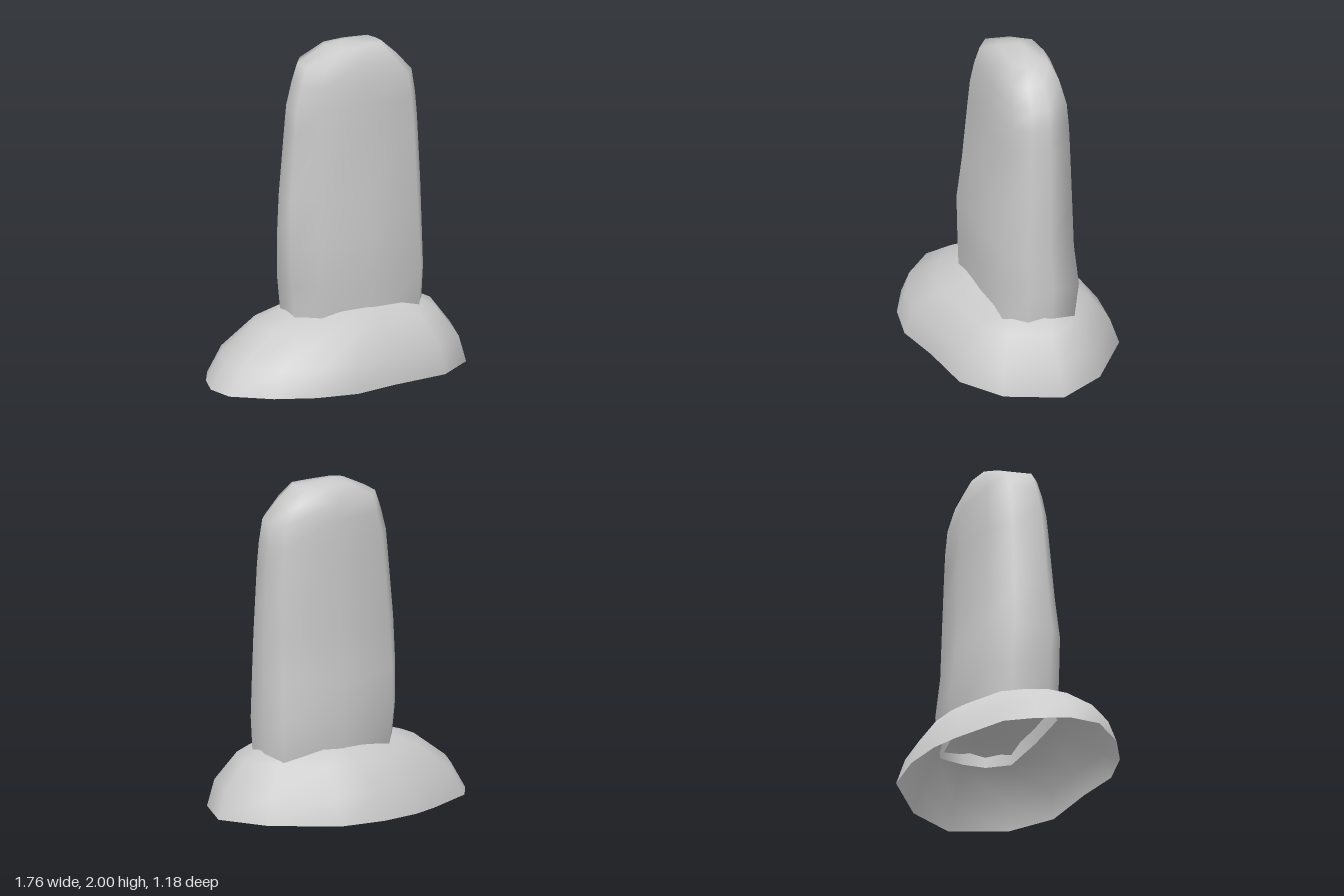
import * as THREE from 'three';

const material = new THREE.MeshStandardMaterial({ color: 0xcccccc, side: THREE.DoubleSide });

// Skin a stack of rings (each a list of [x, y, z]) and close it with a top point.
function loft(name, rings, tip) {
  const n = rings[0].length;
  const index = [];
  for (let r = 0; r < rings.length - 1; r++) {
    for (let i = 0; i < n; i++) {
      const a = r * n + i, b = r * n + (i + 1) % n;
      index.push(a, b, b + n, a, b + n, a + n);
    }
  }
  const last = (rings.length - 1) * n;
  for (let i = 0; i < n; i++) index.push(last + i, last + (i + 1) % n, rings.length * n);

  const geometry = new THREE.BufferGeometry();
  geometry.setAttribute('position', new THREE.Float32BufferAttribute([...rings.flat(), tip].flat(), 3));
  geometry.setIndex(index);
  geometry.computeVertexNormals();
  const mesh = new THREE.Mesh(geometry, material);
  mesh.name = name;
  return mesh;
}

// Fit an outline of [x, z] points into the given x and z ranges at height y.
function fitRing(outline, [y, x0, x1, z0, z1]) {
  const xs = outline.map(p => p[0]), zs = outline.map(p => p[1]);
  const map = (v, list, lo, hi) => THREE.MathUtils.mapLinear(v, Math.min(...list), Math.max(...list), lo, hi);
  return outline.map(([x, z]) => [map(x, xs, x0, x1), y, map(z, zs, z0, z1)]);
}

export function createModel() {
  const group = new THREE.Group();
  group.name = 'gravestone';

  // Earth mound: irregular oval, open underneath
  const moundOutline = [
    [0.88, -0.02], [0.72, -0.31], [0.37, -0.565], [0.07, -0.59], [-0.18, -0.55], [-0.35, -0.485],
    [-0.69, -0.31], [-0.8, -0.15], [-0.885, 0.04], [-0.875, 0.23], [-0.68, 0.42], [-0.45, 0.535],
    [-0.19, 0.585], [0.1, 0.53], [0.48, 0.49], [0.74, 0.31],
  ];
  // y, then x range and z range
  const moundLevels = [
    [0, -0.885, 0.88, -0.59, 0.59],
    [0.16, -0.79, 0.825, -0.535, 0.555],
    [0.33, -0.55, 0.69, -0.41, 0.41],
    [0.41, -0.3, 0.52, -0.25, 0.25],
  ];
  group.add(loft('mound', moundLevels.map(l => fitRing(moundOutline, l)), [0.08, 0.425, 0]));

  // Standing stone: chamfered slab that tapers and rounds off at the top
  const stoneOutline = [
    [0.59, -0.07], [0.56, -0.24], [0.16, -0.305], [-0.22, -0.265], [-0.34, -0.11],
    [-0.38, 0.12], [-0.25, 0.23], [0.13, 0.235], [0.48, 0.215], [0.58, 0.08],
  ];
  const stoneLevels = [
    [0.3, -0.345, 0.57, -0.27, 0.235],
    [0.57, -0.365, 0.59, -0.3, 0.24],
    [0.83, -0.38, 0.575, -0.27, 0.24],
    [1.1, -0.365, 0.575, -0.255, 0.21],
    [1.5, -0.325, 0.56, -0.24, 0.185],
    [1.64, -0.31, 0.55, -0.235, 0.175],
    [1.78, -0.27, 0.53, -0.225, 0.16],
    [1.89, -0.225, 0.43, -0.21, 0.135],
    [1.975, -0.04, 0.335, -0.16, 0.08],
  ];
  group.add(loft('stone', stoneLevels.map(l => fitRing(stoneOutline, l)), [0.08, 2, -0.05]));

  return group;
}
